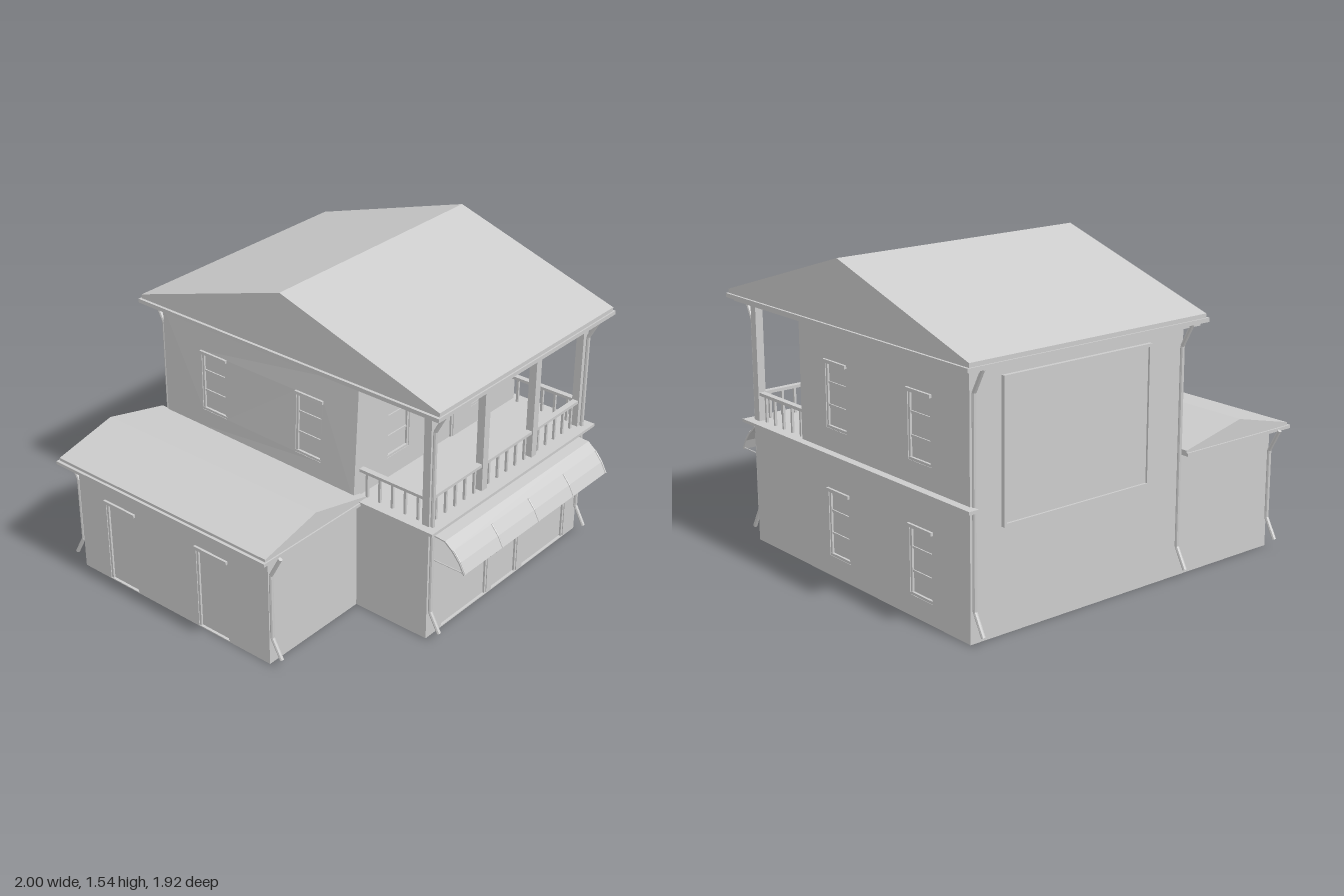
import * as THREE from 'three';

const mat = new THREE.MeshStandardMaterial({ color: 0xcccccc, side: THREE.DoubleSide, flatShading: true });

function add(parent, name, geometry) {
  const m = new THREE.Mesh(geometry, mat);
  m.name = name;
  parent.add(m);
  return m;
}

// Box given by its two opposite corners
function box(parent, name, [x0, y0, z0], [x1, y1, z1]) {
  const g = new THREE.BoxGeometry(x1 - x0, y1 - y0, z1 - z0);
  g.translate((x0 + x1) / 2, (y0 + y1) / 2, (z0 + z1) / 2);
  return add(parent, name, g);
}

function rectPath(P, u0, v0, u1, v1) {
  const p = new P();
  p.moveTo(u0, v0); p.lineTo(u1, v0); p.lineTo(u1, v1); p.lineTo(u0, v1); p.closePath();
  return p;
}

// Wall seen from outside: u to the right, v up, outer face at local z = 0.
// Each opening is { r: [u0, v0, u1, v1], type }
function wall(parent, name, pos, angle, w, h, openings = []) {
  const group = new THREE.Group();
  group.name = name;
  group.position.set(...pos);
  group.rotation.y = angle;
  parent.add(group);
  const shape = rectPath(THREE.Shape, 0, 0, w, h);
  for (const { r } of openings) shape.holes.push(rectPath(THREE.Path, ...r));
  const g = new THREE.ExtrudeGeometry(shape, { depth: 0.02, bevelEnabled: false });
  add(group, name + 'Panel', g.translate(0, 0, -0.02));
  for (const { r: [u0, v0, u1, v1], type } of openings) {
    const f = 0.012, isWindow = type === 'window';
    box(group, type + 'Panel', [u0, v0, -0.019], [u1, v1, -0.014]);
    for (const u of [u0, u1 - f]) box(group, type + 'Jamb', [u, v0, -0.016], [u + f, v1, -0.004]);
    box(group, type + 'Head', [u0, v1 - f, -0.016], [u1, v1, -0.004]);
    if (type !== 'gate') box(group, type + 'Hood', [u0 - 0.003, v1 - 0.013, -0.01], [u1 + 0.003, v1 + 0.003, 0.012]);
    if (isWindow) {
      box(group, 'windowSill', [u0, v0, -0.016], [u1, v0 + f, -0.002]);
      for (const k of [1, 2]) {
        const v = v0 + (v1 - v0) * k / 3;
        box(group, 'windowBar', [u0, v - 0.005, -0.016], [u1, v + 0.005, -0.008]);
      }
    }
  }
  return group;
}

// Move all vertices of a group's meshes by a rule
function deform(group, rule) {
  const v = new THREE.Vector3();
  for (const m of group.children) {
    const p = m.geometry.attributes.position;
    for (let i = 0; i < p.count; i++) {
      rule(v.fromBufferAttribute(p, i));
      p.setXYZ(i, v.x, v.y, v.z);
    }
    m.geometry.computeVertexNormals();
  }
}

function rod(parent, name, a, b, r) {
  const d = b.clone().sub(a);
  const m = add(parent, name, new THREE.CylinderGeometry(r, r, d.length(), 8));
  m.position.copy(a).addScaledVector(d, 0.5);
  m.quaternion.setFromUnitVectors(new THREE.Vector3(0, 1, 0), d.normalize());
}

// Gutter pipe with bends outward at the top and at the foot
function downpipe(parent, x, z, dir, top) {
  const pts = [[0.058, top], [0, top - 0.11], [0, 0.15], [0.055, 0.05]]
    .map(([d, y]) => new THREE.Vector3(x, y, z + dir * d));
  for (let i = 0; i < 3; i++) rod(parent, 'downpipe', pts[i], pts[i + 1], 0.01);
}

// Solid prism: profile in the xy plane, extruded along z
function prism(points, depth) {
  const s = new THREE.Shape(points.map(p => new THREE.Vector2(...p)));
  return new THREE.ExtrudeGeometry(s, { depth, bevelEnabled: false });
}

function railing(parent, a, b, n) {
  const g = new THREE.Group();
  g.name = 'railing';
  parent.add(g);
  const [x0, z0] = a, [x1, z1] = b;
  const alongX = Math.abs(x1 - x0) > Math.abs(z1 - z0);
  const dx = alongX ? 0 : 0.015, dz = alongX ? 0.015 : 0;
  box(g, 'handrail', [x0 - dx, 0.742, z0 - dz], [x1 + dx, 0.757, z1 + dz]);
  for (let i = 0; i < n; i++) {
    const t = (i + 0.5) / n, x = x0 + (x1 - x0) * t, z = z0 + (z1 - z0) * t;
    box(g, 'baluster', [x - 0.006, 0.61, z - 0.006], [x + 0.006, 0.745, z + 0.006]);
  }
}

export function createModel() {
  const house = new THREE.Group();
  house.name = 'house';
  const L = -0.31, R = 0.92, F = 0.78, B = -0.87, mid = 0.37, q = Math.PI / 2;
  const win = (u0, v0, u1, v1) => ({ r: [u0, v0, u1, v1], type: 'window' });
  const door = (u0, u1, v1, type = 'door') => ({ r: [u0, 0.005, u1, v1], type });

  // Ground floor
  wall(house, 'shopFront', [L, 0, F], 0, R - L, 0.6,
    [[-0.2, 0.165], [0.2, 0.412], [0.455, 0.82]].map(([a, b]) => door(a - L, b - L, 0.41, 'gate')));
  const rightWins = [[0.615, 0.78], [1.23, 1.395]];
  wall(house, 'lowerRightWall', [R, 0, F], q, F - B, 0.6, rightWins.map(([a, b]) => win(a, 0.1, b, 0.43)));
  wall(house, 'lowerLeftWall', [L, 0, 0.36], -q, F - 0.36, 0.6);
  wall(house, 'lowerBackWall', [R, 0, B], Math.PI, R + 0.92, 0.6);

  // Side annex
  wall(house, 'annexFrontWall', [-0.92, 0, 0.36], 0, 0.61, 0.6);
  wall(house, 'annexLeftWall', [-0.92, 0, B], -q, 1.23, 0.6, [door(0.18, 0.38, 0.45), door(0.78, 0.98, 0.45)]);
  const annexRoof = prism([[-0.985, 0.605], [-0.3, 0.605], [-0.3, 0.622], [-0.65, 0.705], [-0.985, 0.625]], 1.33);
  add(house, 'annexRoof', annexRoof.translate(0, 0, -0.922));
  box(house, 'annexGutter', [-1, 0.595, -0.93], [-0.3, 0.611, 0.415]);

  // Upper floor; its left wall leans out at the foot of the front corner
  const upperFront = wall(house, 'upperFrontWall', [L, 0.6, mid], 0, R - L, 0.6,
    [win(0.205, 0.12, 0.37, 0.44), door(0.51, 0.72, 0.44), win(0.86, 0.12, 1.025, 0.44)]);
  deform(upperFront, v => { if (v.x < 0.01) v.x -= 0.035 * (1 - v.y / 0.6); });
  const upperLeft = wall(house, 'upperLeftWall', [L, 0.6, B], -q, mid - B, 0.6,
    [win(0.255, 0.12, 0.42, 0.44), win(0.87, 0.12, 1.035, 0.44)]);
  deform(upperLeft, v => { v.z += 0.035 * (v.x / (mid - B)) * (1 - v.y / 0.6); });
  wall(house, 'upperRightWall', [R, 0.6, mid], q, mid - B, 0.6,
    rightWins.map(([a, b]) => win(a - F + mid, 0.12, b - F + mid, 0.44)));
  wall(house, 'upperBackWall', [R, 0.6, B], Math.PI, R - L, 0.6);

  // Framed panel on the back wall
  const [p0, p1, y0, y1, t] = [-0.1, 0.75, 0.49, 1.15, 0.015];
  for (const y of [y0, y1 - t]) box(house, 'panelFrame', [p0, y, B - 0.018], [p1, y + t, B]);
  for (const x of [p0, p1 - t]) box(house, 'panelFrame', [x, y0, B - 0.018], [x + t, y1, B]);
  box(house, 'backPanel', [p0, y0, B - 0.008], [p1, y1, B]);

  // Balcony deck, right belt course, columns and railings
  box(house, 'balconyDeck', [-0.35, 0.6, mid - 0.01], [0.96, 0.615, 0.83]);
  box(house, 'beltCourse', [R - 0.01, 0.6, -0.915], [0.96, 0.615, mid]);
  const columns = [-0.29, 0.108, 0.508, 0.9];
  for (const x of columns) box(house, 'column', [x - 0.02, 0.61, 0.74], [x + 0.02, 1.21, 0.78]);
  for (let i = 0; i < 3; i++) railing(house, [columns[i] + 0.02, 0.76], [columns[i + 1] - 0.02, 0.76], 5);
  for (const x of [columns[0], columns[3]]) railing(house, [x, mid], [x, 0.74], 5);

  // Main roof with stepped eaves
  box(house, 'soffit', [-0.355, 1.198, -0.93], [0.97, 1.215, 0.845]);
  box(house, 'gutter', [-0.385, 1.215, -0.957], [0.997, 1.235, 0.872]);
  const roof = prism([[-0.865, 1.23], [0.95, 1.23], [0.95, 1.255], [0.045, 1.54], [-0.865, 1.255]], 1.355);
  add(house, 'mainRoof', roof.rotateY(q).translate(-0.37, 0, 0));

  // Curved awning with brackets
  const outline = [[0.78, 0.56], [0.85, 0.555], [0.895, 0.52], [0.935, 0.472], [0.963, 0.42]];
  const under = outline.map(([z, y]) => [z - 0.005, y - 0.006]).reverse();
  const awning = prism([...outline, ...under].map(([z, y]) => [-z, y]), 1.165);
  add(house, 'awning', awning.rotateY(q).translate(-0.28, 0, 0));
  for (const x of [-0.272, 0.015, 0.305, 0.597, 0.88]) {
    rod(house, 'awningBracket', new THREE.Vector3(x, 0.422, F), new THREE.Vector3(x, 0.422, 0.957), 0.003);
    const rib = outline.map(([z, y]) => new THREE.Vector3(x, y, z));
    for (let i = 2; i < 4; i++) rod(house, 'awningRib', rib[i], rib[i + 1], 0.005);
  }

  // Downpipes
  for (const x of [-0.295, 0.905]) {
    downpipe(house, x, F + 0.01, 1, 1.215);
    downpipe(house, x, B - 0.012, -1, 1.215);
  }
  downpipe(house, -0.912, 0.372, 1, 0.6);
  downpipe(house, -0.912, B - 0.012, -1, 0.6);

  return house;
}
